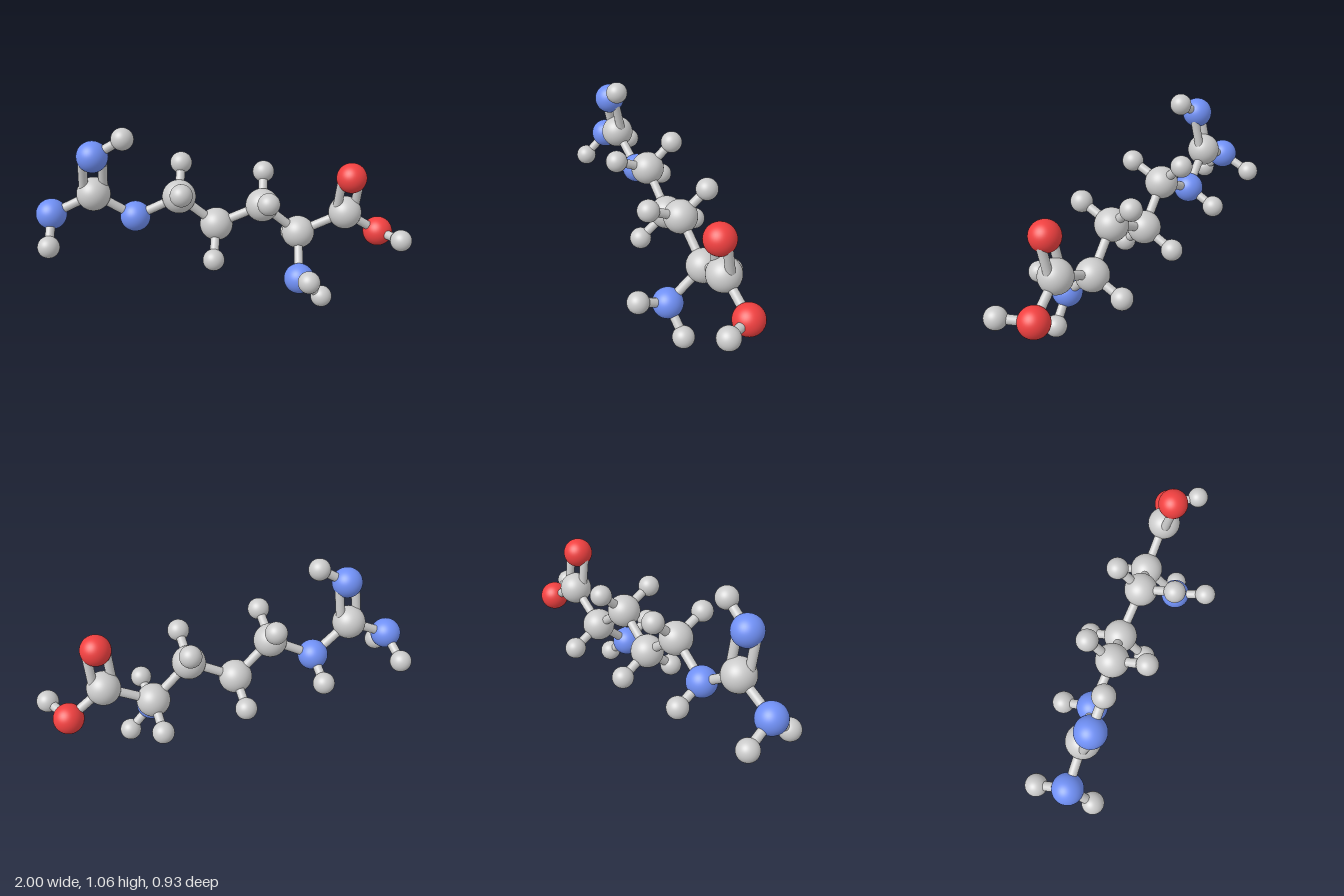
import * as THREE from 'three';

// Element styles: radius and colour
const ELEMENTS = {
  carbon: { radius: 0.092, color: 0xcccccc },
  nitrogen: { radius: 0.084, color: 0x7090f5 },
  oxygen: { radius: 0.083, color: 0xf04040 },
  hydrogen: { radius: 0.06, color: 0xcccccc },
};
const BOND_RADIUS = 0.025;
const DOUBLE_OFFSET = 0.053;

// Each atom: element, position, the atom it is bonded to, bond order
const ATOMS = {
  endCarbon: ['carbon', [-0.676, 0.672, -0.173]],
  imineNitrogen: ['nitrogen', [-0.675, 0.902, -0.124], 'endCarbon', 2],
  imineHydrogen: ['hydrogen', [-0.52, 1.0, -0.075], 'imineNitrogen'],
  endNitrogen: ['nitrogen', [-0.904, 0.558, -0.23], 'endCarbon'],
  endHydrogenA: ['hydrogen', [-0.944, 0.423, -0.103], 'endNitrogen'],
  endHydrogenB: ['hydrogen', [-0.89, 0.474, -0.403], 'endNitrogen'],
  chainNitrogen: ['nitrogen', [-0.457, 0.517, -0.161], 'endCarbon'],
  chainHydrogen: ['hydrogen', [-0.428, 0.438, -0.325], 'chainNitrogen'],

  chainCarbonA: ['carbon', [-0.227, 0.641, -0.077], 'chainNitrogen'],
  hydrogenA1: ['hydrogen', [-0.179, 0.785, -0.209], 'chainCarbonA'],
  hydrogenA2: ['hydrogen', [-0.259, 0.727, 0.11], 'chainCarbonA'],
  chainCarbonB: ['carbon', [-0.021, 0.456, -0.059], 'chainCarbonA'],
  hydrogenB1: ['hydrogen', [-0.078, 0.308, 0.082], 'chainCarbonB'],
  hydrogenB2: ['hydrogen', [0.008, 0.365, -0.235], 'chainCarbonB'],
  chainCarbonC: ['carbon', [0.217, 0.579, 0.03], 'chainCarbonB'],
  hydrogenC1: ['hydrogen', [0.267, 0.722, -0.103], 'chainCarbonC'],
  hydrogenC2: ['hydrogen', [0.187, 0.665, 0.216], 'chainCarbonC'],
  chainCarbonD: ['carbon', [0.43, 0.391, 0.044], 'chainCarbonC'],
  hydrogenD: ['hydrogen', [0.457, 0.306, -0.134], 'chainCarbonD'],

  amineNitrogen: ['nitrogen', [0.372, 0.198, 0.228], 'chainCarbonD'],
  amineHydrogenA: ['hydrogen', [0.356, 0.271, 0.405], 'amineNitrogen'],
  amineHydrogenB: ['hydrogen', [0.511, 0.062, 0.23], 'amineNitrogen'],

  acidCarbon: ['carbon', [0.676, 0.514, 0.12], 'chainCarbonD'],
  doubleOxygen: ['oxygen', [0.682, 0.736, 0.162], 'acidCarbon', 2],
  acidOxygen: ['oxygen', [0.882, 0.376, 0.134], 'acidCarbon'],
  acidHydrogen: ['hydrogen', [0.938, 0.389, 0.309], 'acidOxygen'],
};

// Cylinder running from point a to point b
function makeBond(a, b, material) {
  const dir = b.clone().sub(a);
  const geometry = new THREE.CylinderGeometry(BOND_RADIUS, BOND_RADIUS, dir.length(), 24);
  const bond = new THREE.Mesh(geometry, material);
  bond.position.copy(a).add(b).multiplyScalar(0.5);
  bond.quaternion.setFromUnitVectors(new THREE.Vector3(0, 1, 0), dir.normalize());
  return bond;
}

export function createModel() {
  const model = new THREE.Group();
  model.name = 'molecule';

  // Shared geometry and material per element
  const styles = {};
  for (const [element, { radius, color }] of Object.entries(ELEMENTS)) {
    styles[element] = {
      geometry: new THREE.SphereGeometry(radius, 40, 28),
      material: new THREE.MeshStandardMaterial({ color }),
    };
  }
  const bondMaterial = new THREE.MeshStandardMaterial({ color: 0xcccccc });

  for (const [name, [element, position, partner, order = 1]] of Object.entries(ATOMS)) {
    // Atom ball
    const { geometry, material } = styles[element];
    const atom = new THREE.Mesh(geometry, material);
    atom.name = name;
    atom.position.set(...position);
    model.add(atom);
    if (!partner) continue;

    // Single rod, or two parallel rods for a double bond
    const start = new THREE.Vector3(...ATOMS[partner][1]);
    const end = atom.position;
    const side = end.clone().sub(start).cross(new THREE.Vector3(0, 0, 1)).normalize();
    const offsets = order === 2 ? [-DOUBLE_OFFSET, DOUBLE_OFFSET] : [0];
    offsets.forEach((offset, i) => {
      const shift = side.clone().multiplyScalar(offset);
      const bond = makeBond(start.clone().add(shift), end.clone().add(shift), bondMaterial);
      bond.name = `${name}Bond${order === 2 ? i + 1 : ''}`;
      model.add(bond);
    });
  }
  return model;
}
